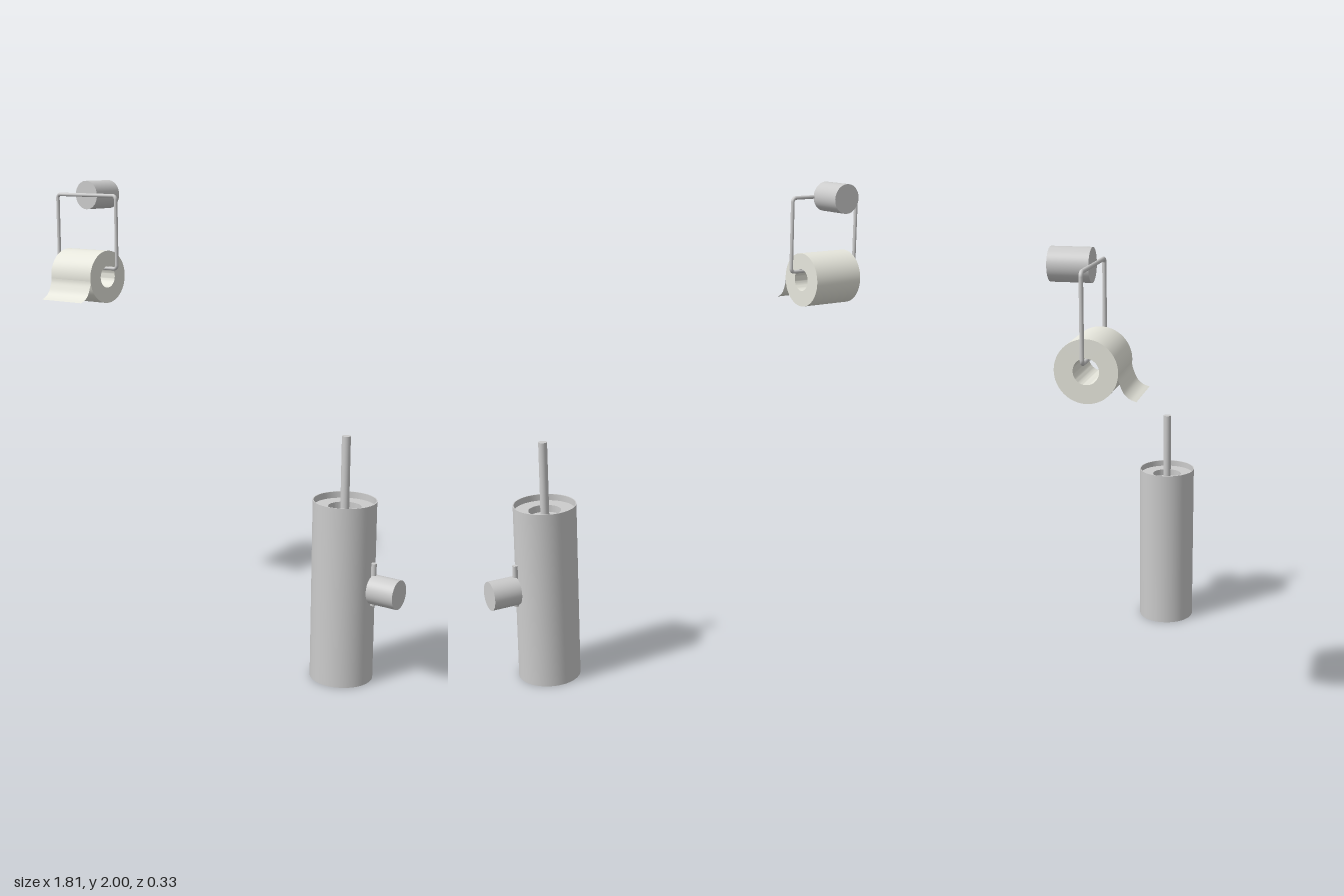
import * as THREE from 'three';
import { toCreasedNormals } from 'three/addons/utils/BufferGeometryUtils.js';

const metal = new THREE.MeshStandardMaterial({ color: 0xcccccc });
const paper = new THREE.MeshStandardMaterial({ color: 0xe6e6dc });
const paperSheet = new THREE.MeshStandardMaterial({ color: 0xe6e6dc, side: THREE.DoubleSide });

function add(parent, name, geometry, material, x, y, z) {
  const mesh = new THREE.Mesh(geometry, material);
  mesh.name = name;
  mesh.position.set(x, y, z);
  parent.add(mesh);
  return mesh;
}

const rod = (r, length, sides = 48) => new THREE.CylinderGeometry(r, r, length, sides);

// Lathe with sharp edges from [radius, height] pairs
function lathe(points) {
  const profile = points.map(([r, y]) => new THREE.Vector2(r, y));
  return toCreasedNormals(new THREE.LatheGeometry(profile, 64), 0.6);
}

// Rectangular loop of thin rod with rounded corners
function hangerFrame(width, height, r, bend) {
  const group = new THREE.Group();
  group.name = 'hangerFrame';
  const w = width / 2, h = height / 2;
  for (const s of [-1, 1]) {
    add(group, 'frameSide', rod(r, height - 2 * bend, 16), metal, s * w, 0, 0);
    add(group, 'frameBar', rod(r, width - 2 * bend, 16), metal, 0, s * h, 0).rotation.z = Math.PI / 2;
  }
  const signs = [[1, 1], [-1, 1], [-1, -1], [1, -1]];
  signs.forEach(([sx, sy], i) => {
    const corner = new THREE.TorusGeometry(bend, r, 16, 8, Math.PI / 2);
    add(group, 'frameCorner', corner, metal, sx * (w - bend), sy * (h - bend), 0).rotation.z = i * Math.PI / 2;
  });
  return group;
}

// Loose end of the paper, swept across the roll's width
function looseSheet(width) {
  const curve = new THREE.CatmullRomCurve3([
    [0.092, 1.625], [0.101, 1.58], [0.095, 1.555], [0.104, 1.535],
    [0.122, 1.505], [0.142, 1.487], [0.167, 1.477],
  ].map(([z, y]) => new THREE.Vector3(0, y, z)));
  // Keep the upper part lying on the roll
  curve.points[2].z = 0.102;
  curve.points[3].z = 0.108;
  const geometry = new THREE.PlaneGeometry(width, 1, 1, 24);
  const pos = geometry.attributes.position;
  for (let i = 0; i < pos.count; i++) {
    const p = curve.getPoint(0.5 - pos.getY(i));
    pos.setXYZ(i, pos.getX(i), p.y, p.z);
  }
  geometry.computeVertexNormals();
  return geometry;
}

function paperHolder() {
  const group = new THREE.Group();
  group.name = 'paperHolder';
  const x = -0.728, z = -0.014;

  const frame = hangerFrame(0.346, 0.32, 0.008, 0.016);
  frame.position.set(x, 1.777, z);
  group.add(frame);

  add(group, 'wallMount', rod(0.063, 0.152), metal, x, 1.937, -0.091).rotation.x = Math.PI / 2;

  const h = 0.118, outer = 0.117, inner = 0.048;
  const ring = lathe([[inner, -h], [outer, -h], [outer, h], [inner, h], [inner, -h]]);
  add(group, 'paperRoll', ring, paper, x, 1.578, z - 0.001).rotation.z = Math.PI / 2;
  add(group, 'looseSheet', looseSheet(2 * h), paperSheet, x, 0, 0);
  return group;
}

function brushHolder() {
  const group = new THREE.Group();
  group.name = 'brushHolder';
  group.position.set(0.648, 0, 0.003);

  // Canister with a recessed lid and a dished centre
  add(group, 'canister', lathe([
    [0, 0], [0.13, 0], [0.13, 0.757], [0.126, 0.757],
    [0.126, 0.73], [0.067, 0.73], [0.067, 0.7], [0, 0.7],
  ]), metal, 0, 0, 0);
  add(group, 'brushHandle', rod(0.018, 0.332, 32), metal, 0, 0.856, 0);

  // Wall bracket on the left side
  add(group, 'bracketPin', rod(0.011, 0.178, 24), metal, 0.141, 0.427, 0);
  add(group, 'wallMount', rod(0.06, 0.118), metal, 0.198, 0.407, 0).rotation.z = Math.PI / 2;
  return group;
}

export function createModel() {
  const model = new THREE.Group();
  model.name = 'bathroomSet';
  model.add(paperHolder(), brushHolder());
  return model;
}
